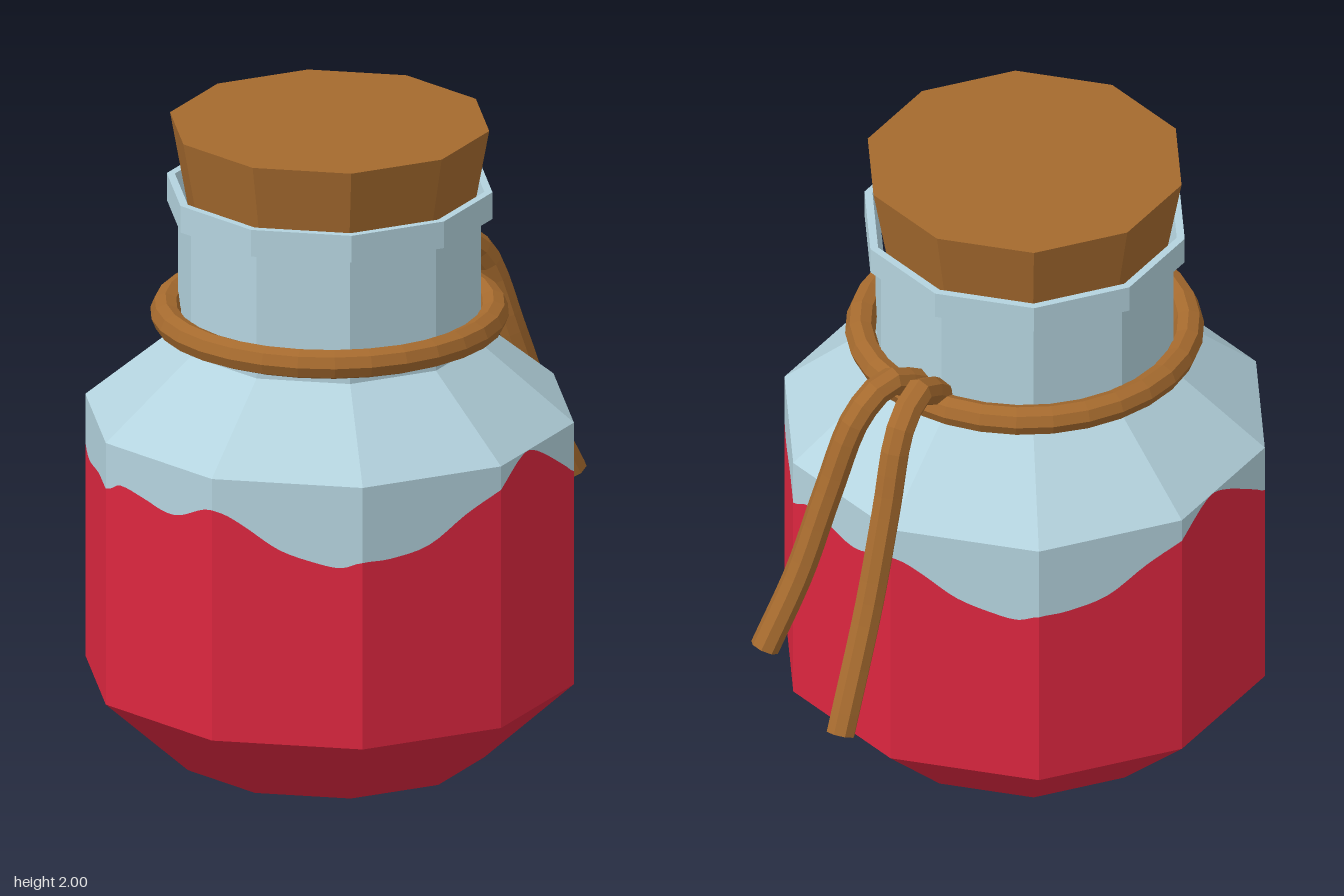
import * as THREE from 'three';

const SIDES = 10;
const glass = new THREE.MeshStandardMaterial({ color: 0xb4d3de });
glass.name = 'paleGlass';
const liquid = new THREE.MeshStandardMaterial({ color: 0xdc263f });
liquid.name = 'redLiquid';
const brown = new THREE.MeshStandardMaterial({ color: 0xa56a2e });
brown.name = 'corkBrown';

// Mesh with one normal per face
function flatMesh(name, geometry, material) {
  const g = geometry.index ? geometry.toNonIndexed() : geometry;
  g.computeVertexNormals();
  const mesh = new THREE.Mesh(g, material);
  mesh.name = name;
  return mesh;
}

function lathe(name, profile, material) {
  const points = profile.map(([r, y]) => new THREE.Vector2(r, y));
  return flatMesh(name, new THREE.LatheGeometry(points, SIDES), material);
}

// Point on the ten-sided wall; u counts faces starting at the front corner
function wallPoint(u, y) {
  const corner = (i) => {
    const a = (i / SIDES) * Math.PI * 2;
    return new THREE.Vector3(Math.sin(a) * 0.75, y, Math.cos(a) * 0.75);
  };
  const i = Math.floor(u);
  return corner(i).lerp(corner(i + 1), u - i);
}

// Strip of wall between two height rules, along the samples of the wave
function wallStrip(name, samples, low, high, material) {
  const pos = [];
  for (const start of [0, SIDES / 2]) {
    for (let k = 0; k < samples.length - 1; k++) {
      const p = samples[k], q = samples[k + 1];
      const a = wallPoint(start + p.x, low(p)), b = wallPoint(start + q.x, low(q));
      const c = wallPoint(start + q.x, high(q)), d = wallPoint(start + p.x, high(p));
      for (const v of [a, b, c, a, c, d]) pos.push(v.x, v.y, v.z);
    }
  }
  const g = new THREE.BufferGeometry();
  g.setAttribute('position', new THREE.Float32BufferAttribute(pos, 3));
  return flatMesh(name, g, material);
}

// Cord with closed ends
function cord(name, points) {
  const group = new THREE.Group();
  group.name = name;
  const curve = new THREE.CatmullRomCurve3(points.map((p) => new THREE.Vector3(...p)));
  group.add(flatMesh(name + 'Length', new THREE.TubeGeometry(curve, 18, 0.045, 8), brown));
  for (const t of [0, 1]) {
    const cap = flatMesh(name + 'Cap', new THREE.CircleGeometry(0.045, 8), brown);
    const p = curve.getPoint(t);
    cap.position.copy(p);
    cap.lookAt(p.clone().addScaledVector(curve.getTangent(t), t ? 1 : -1));
    group.add(cap);
  }
  return group;
}

export function createModel() {
  const model = new THREE.Group();
  model.name = 'corkedBottle';
  const bottle = new THREE.Group();
  bottle.name = 'bottle';
  bottle.position.z = 0.175;
  model.add(bottle);

  // Wavy liquid line over half the wall, repeated on the other half
  const wave = [
    [0, 0.985], [0.1, 0.97], [0.23, 0.935], [0.45, 0.87], [0.7, 0.835], [0.86, 0.825],
    [1, 0.845], [1.2, 0.845], [1.48, 0.87], [1.75, 0.95], [2, 1.01], [2.3, 1.08],
    [2.5, 1.065], [2.86, 0.97], [3, 0.93], [3.2, 0.905], [3.65, 0.935], [4, 0.94],
    [4.14, 0.965], [4.35, 0.95], [4.55, 0.93], [4.7, 0.935], [4.9, 0.975], [5, 0.985],
  ].map(([u, y]) => new THREE.Vector2(u, y));
  const samples = new THREE.SplineCurve(wave).getPoints((wave.length - 1) * 4);
  bottle.add(
    lathe('liquidBase', [[0, 0], [0.475, 0], [0.75, 0.25]], liquid),
    wallStrip('liquidWall', samples, () => 0.25, (p) => p.y, liquid),
    wallStrip('glassWall', samples, (p) => p.y, () => 1.085, glass),
  );

  // Shoulder, neck and lip
  bottle.add(lathe('glassNeck', [
    [0.75, 1.085], [0.465, 1.32], [0.465, 1.72], [0.5, 1.72],
    [0.5, 1.805], [0.475, 1.805], [0.45, 1.7],
  ], glass));

  // Tapered stopper
  bottle.add(lathe('cork', [[0, 1.65], [0.425, 1.65], [0.49, 2], [0, 2]], brown));

  // Cord around the neck
  const ringGeometry = new THREE.TorusGeometry(0.497, 0.046, 8, 30);
  ringGeometry.rotateX(-Math.PI / 2);
  const ring = flatMesh('neckCord', ringGeometry, brown);
  ring.position.y = 1.395;
  bottle.add(ring);

  // Loose ends hanging at the back
  model.add(
    cord('longCordEnd', [
      [0.005, 1.42, -0.29], [0.005, 1.49, -0.41], [0, 1.42, -0.52],
      [-0.005, 1.18, -0.605], [-0.01, 0.89, -0.71], [-0.02, 0.525, -0.885],
    ]),
    cord('shortCordEnd', [
      [0.09, 1.42, -0.28], [0.125, 1.475, -0.4], [0.165, 1.4, -0.5],
      [0.22, 1.15, -0.58], [0.265, 0.89, -0.67], [0.32, 0.655, -0.78],
    ]),
  );
  return model;
}
